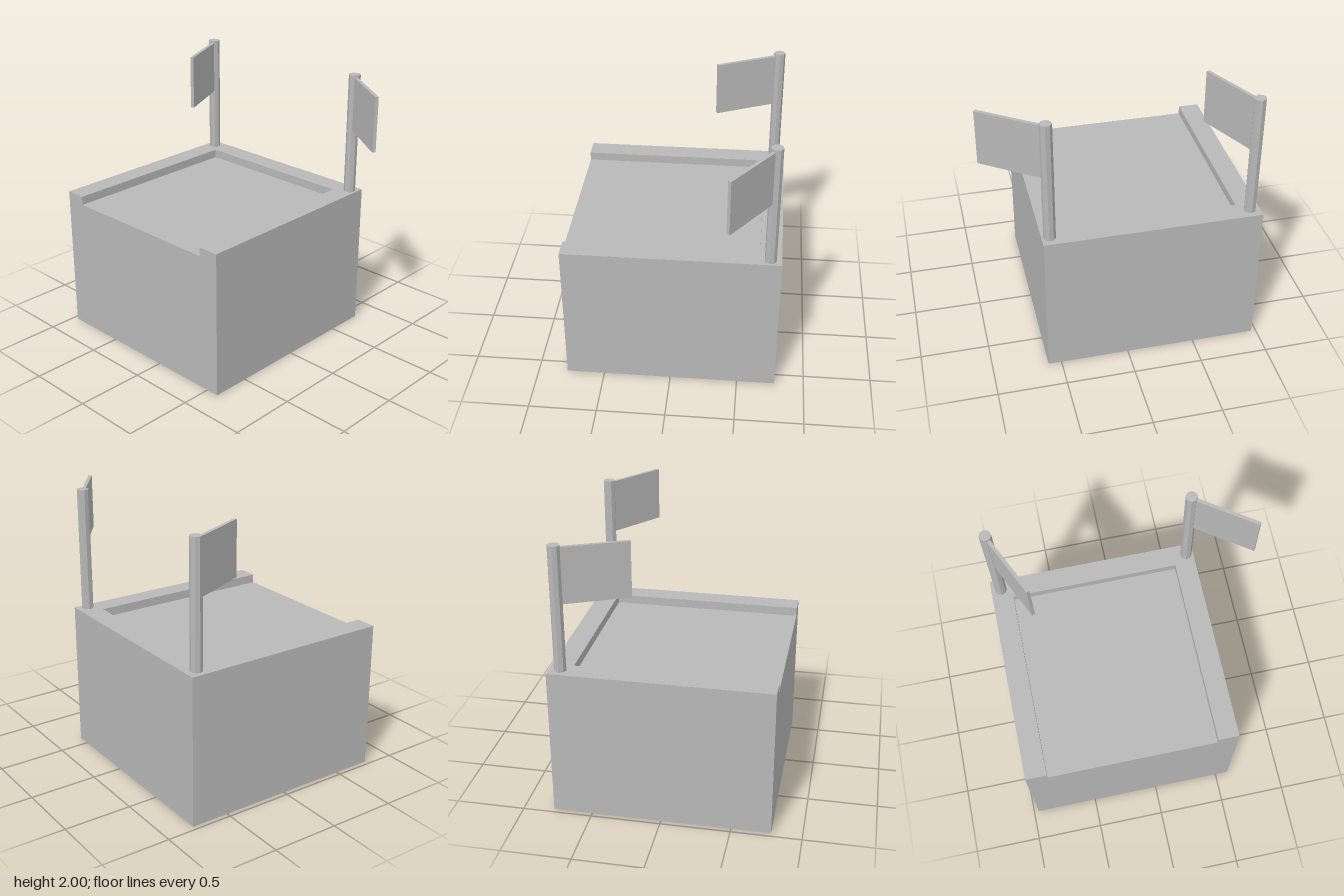
import * as THREE from 'three';

const grey = new THREE.MeshStandardMaterial({ color: 0xb8b8b8 });
grey.name = 'grey';

const X0 = -0.965, X1 = 0.597, HALF_Z = 0.782; // footprint
const FLOOR = 1.03, TOP = 1.095;               // recessed deck and rim heights
const RIM = 0.155;                             // rim width

function part(name, geometry, x = 0, y = 0, z = 0) {
  const mesh = new THREE.Mesh(geometry, grey);
  mesh.name = name;
  mesh.position.set(x, y, z);
  return mesh;
}

// Octagonal pole with a thin flag fixed to one of its flat sides
function flagPole(name, x, z, degrees) {
  const group = new THREE.Group();
  group.name = name;
  group.position.set(x, 0, z);
  group.rotation.y = THREE.MathUtils.degToRad(degrees);

  const height = 2 - TOP;
  const pole = new THREE.CylinderGeometry(0.043, 0.043, height, 8, 1, false, Math.PI / 8).toNonIndexed();
  pole.computeVertexNormals();
  group.add(part('pole', pole, 0, TOP + height / 2, 0));

  const start = 0.036, end = 0.506;
  group.add(part('flag', new THREE.BoxGeometry(0.025, 0.4, end - start), 0, 1.783, (start + end) / 2));
  return group;
}

export function createModel() {
  const model = new THREE.Group();
  model.name = 'platformWithFlags';

  // Solid block up to the recessed deck
  model.add(part('block', new THREE.BoxGeometry(X1 - X0, FLOOR, HALF_Z * 2), (X0 + X1) / 2, FLOOR / 2, 0));

  // U-shaped rim, open at the front; shape y becomes -z
  const outline = [
    [X0, -HALF_Z], [X0 + RIM, -HALF_Z], [X0 + RIM, HALF_Z - RIM], [X1 - RIM, HALF_Z - RIM],
    [X1 - RIM, -HALF_Z], [X1, -HALF_Z], [X1, HALF_Z], [X0, HALF_Z],
  ];
  const shape = new THREE.Shape(outline.map(([x, y]) => new THREE.Vector2(x, y)));
  const rim = new THREE.ExtrudeGeometry(shape, { depth: TOP - FLOOR, bevelEnabled: false });
  rim.rotateX(-Math.PI / 2);
  model.add(part('rim', rim, 0, FLOOR, 0));

  // Flags at the back corners, each turned to its own angle
  model.add(flagPole('rightFlagPole', -0.891, -0.701, 25));
  model.add(flagPole('leftFlagPole', 0.541, -0.701, 55));

  return model;
}
